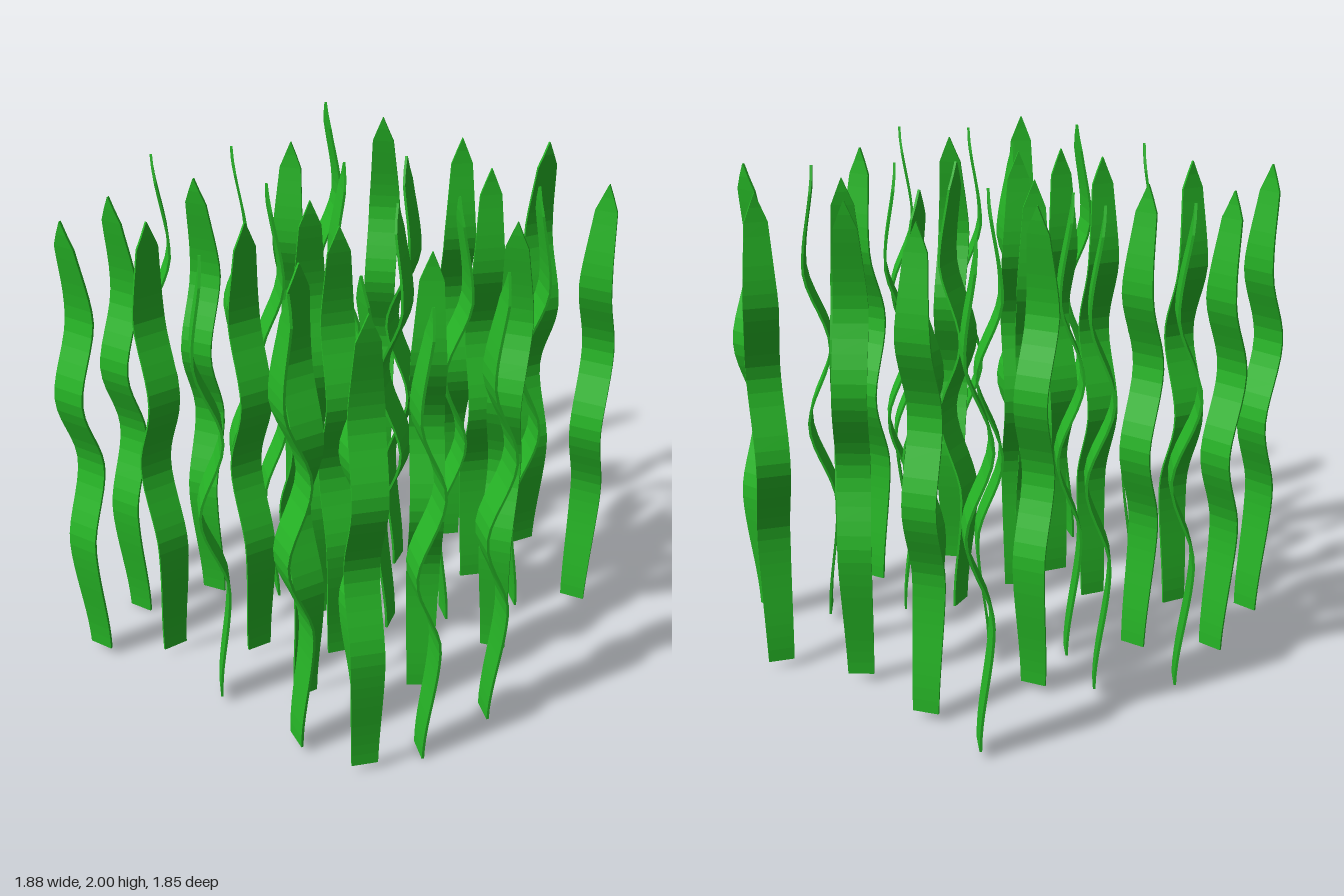
import * as THREE from 'three';

const HEIGHT = 1.965, WIDTH = 0.134, THICK = 0.01;

// Wave towards the flat side, slight drift along the width, and width factor: [height, value]
const SWAY = [[0, 0], [0.54, 0.05], [0.89, -0.05], [1.23, 0.05], [1.56, -0.048], [HEIGHT, 0]];
const DRIFT = [[0, 0], [0.95, -0.006], [1.56, 0.006], [HEIGHT, 0]];
const TAPER = [[0, 0.78], [0.5, 0.98], [1.0, 1], [1.56, 1], [1.86, 0.66], [HEIGHT, 0.02]];

function sample(keys, y, ease) {
  let i = 0;
  while (i < keys.length - 2 && y > keys[i + 1][0]) i++;
  const [y0, v0] = keys[i], [y1, v1] = keys[i + 1];
  const t = THREE.MathUtils.clamp((y - y0) / (y1 - y0), 0, 1);
  return THREE.MathUtils.lerp(v0, v1, ease ? t * t * (3 - 2 * t) : t);
}

// Thin ribbon that waves towards its flat sides and ends in a point
function bladeGeometry() {
  const geo = new THREE.BoxGeometry(WIDTH, HEIGHT, THICK, 1, 37, 1);
  geo.translate(0, HEIGHT / 2, 0);
  const p = geo.attributes.position;
  for (let i = 0; i < p.count; i++) {
    const y = p.getY(i);
    p.setX(i, p.getX(i) * sample(TAPER, y, false) + sample(DRIFT, y, true));
    p.setZ(i, p.getZ(i) + sample(SWAY, y, true));
  }
  geo.computeVertexNormals();
  return geo;
}

// Blades: x, z, turn in degrees, 1 if planted lower
const BLADES = [
  [-0.52, -0.83, -46], [-0.22, -0.78, 20], [0.17, -0.72, 216], [0.50, -0.84, 53],
  [0.86, -0.54, 182], [0.63, -0.40, -51], [0.40, -0.48, 218], [0.05, -0.44, -85],
  [-0.43, -0.36, 194], [-0.14, -0.27, 132], [-0.62, -0.21, -54], [-0.86, 0.01, -54],
  [-0.35, -0.02, -50, 1], [-0.12, 0.05, 43, 1], [0.22, -0.01, -82], [0.40, -0.17, -49],
  [0.68, -0.06, 9], [-0.58, 0.14, 4], [-0.82, 0.37, -3, 1], [-0.80, 0.70, -4],
  [-0.52, 0.56, 62], [-0.20, 0.40, 58], [0.12, 0.27, 44], [0.51, 0.31, 208],
  [0.81, 0.34, 132], [0.10, 0.54, 58, 1], [0.34, 0.53, -36, 1], [0.66, 0.63, 132, 1],
  [-0.20, 0.71, 125], [0.22, 0.83, 143], [0.52, 0.83, 40],
];

export function createModel() {
  const model = new THREE.Group();
  model.name = 'seagrass';
  const geo = bladeGeometry();
  const green = new THREE.MeshStandardMaterial({ color: 0x26b526, flatShading: true });
  BLADES.forEach(([x, z, turn, low], i) => {
    const blade = new THREE.Mesh(geo, green);
    blade.name = `blade${i + 1}`;
    blade.position.set(x, low ? 0 : 0.035, z);
    blade.rotation.y = THREE.MathUtils.degToRad(turn);
    model.add(blade);
  });
  return model;
}
